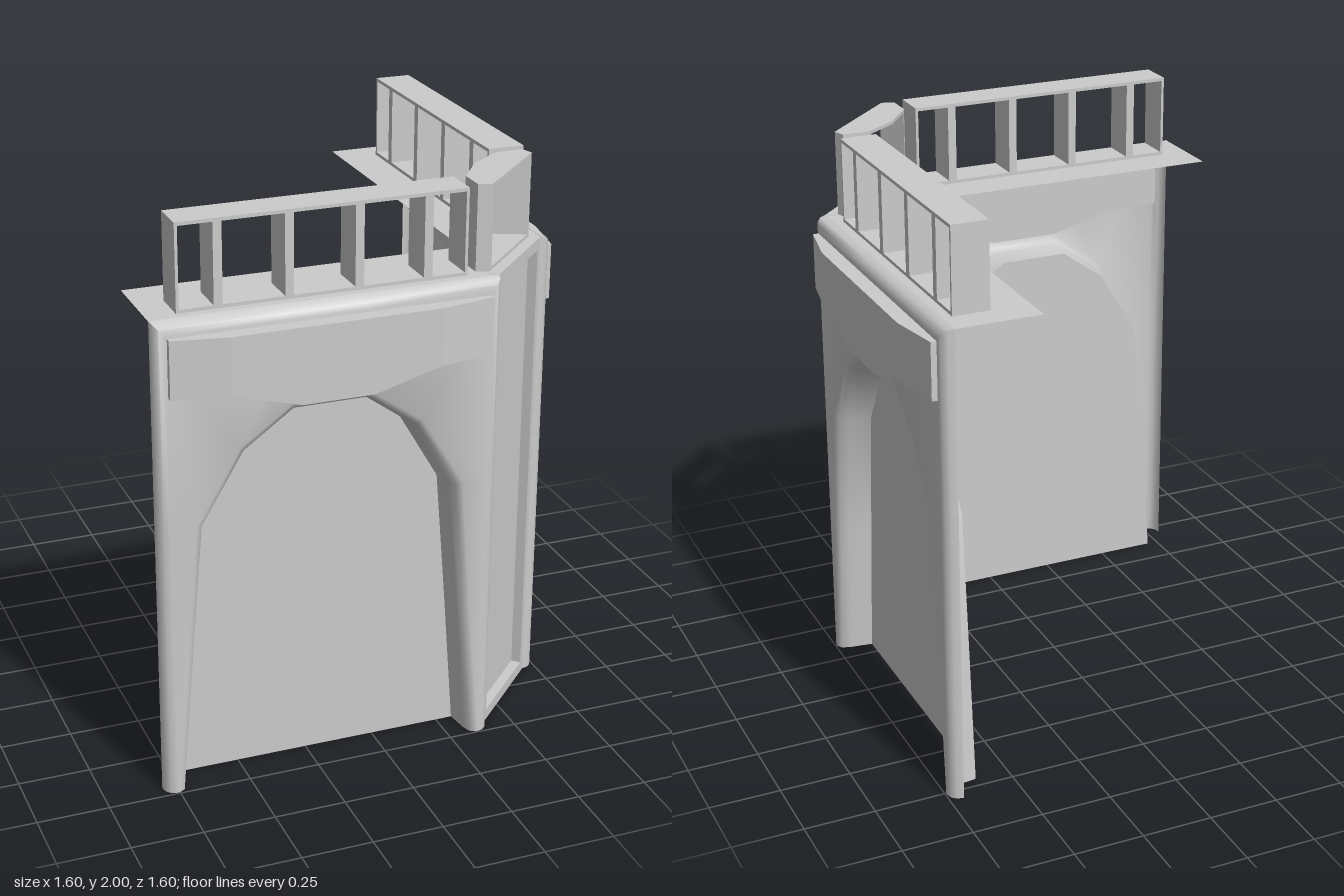
import * as THREE from 'three';
import { toCreasedNormals } from 'three/addons/utils/BufferGeometryUtils.js';

const solid = new THREE.MeshStandardMaterial({ color: 0xcccccc });
const sheet = new THREE.MeshStandardMaterial({ color: 0xcccccc, side: THREE.DoubleSide });

function add(parent, name, geometry, material = solid) {
  const mesh = new THREE.Mesh(geometry, material);
  mesh.name = name;
  parent.add(mesh);
  return mesh;
}

const toShape = (pts) => new THREE.Shape(pts.map(([x, y]) => new THREE.Vector2(x, y)));
// plan outline given as [x, z], drawn so that rotateX(-90deg) lays it flat
const toPlan = (pts) => toShape(pts.map(([x, z]) => [x, -z]));

function rectHole(shape, x0, y0, x1, y1) {
  shape.holes.push(toShape([[x0, y0], [x0, y1], [x1, y1], [x1, y0]]));
}

// skin between rows of matching points
function loft(rows, crease) {
  const n = rows[0].length, index = [];
  for (let r = 0; r < rows.length - 1; r++) {
    for (let i = 0; i < n - 1; i++) {
      const a = r * n + i, c = a + n;
      index.push(a, c, a + 1, a + 1, c, c + 1);
    }
  }
  const g = new THREE.BufferGeometry();
  g.setAttribute('position', new THREE.Float32BufferAttribute(rows.flat(2), 3));
  g.setIndex(index);
  return toCreasedNormals(g, crease);
}

function prism(pts, y, height) {
  const g = new THREE.ExtrudeGeometry(toPlan(pts), { depth: height, bevelEnabled: false });
  return g.rotateX(-Math.PI / 2).translate(0, y, 0);
}

const mirrored = (half) => [...half, ...half.map(([x, y]) => [-x, y]).reverse()];

// arch outline grown outward by o
const arch = (o) => mirrored([
  [0.51 + o, 0], [0.47 + o, 0.5], [0.43 + o, 0.97 + o * 0.5],
  [0.29 + o * 0.7, 1.21 + o * 0.8], [0.125 + o * 0.3, 1.33 + o],
]);
// wall outline with the same number of points
const frame = (w, h) => mirrored([[w, 0], [w, 0.5], [w, 0.97], [w, h], [0.125, h]]);
const atZ = (pts, z) => pts.map(([x, y]) => [x, y, z]);

function createWing() {
  const wing = new THREE.Group();

  // wall sheet: arch reveal, rounded arch lip, flat face, rounded outer edge
  add(wing, 'archedWall', loft([
    atZ(arch(0), 0.62), atZ(arch(0.01), 0.7), atZ(arch(0.02), 0.732), atZ(arch(0.04), 0.745),
    atZ(frame(0.56, 1.66), 0.745), atZ(frame(0.58, 1.68), 0.739),
    atZ(frame(0.594, 1.694), 0.724), atZ(frame(0.6, 1.7), 0.7),
  ], 0.9), sheet);
  add(wing, 'archPanel', new THREE.ShapeGeometry(toShape(arch(0))).translate(0, 0, 0.62), sheet);

  // sign board with a dipped lower edge and ends swept back
  const rows = [
    [-0.555, 1.45, 0.765], [-0.36, 1.45, 0.8], [-0.125, 1.385, 0.8],
    [0.125, 1.385, 0.8], [0.36, 1.45, 0.8], [0.555, 1.45, 0.765],
  ].map(([u, b, z]) => [[u, b, z], [u, 1.65, z], [u, 1.65, 0.7], [u, b, 0.7], [u, b, z]]);
  const cap = (u) => Array.from({ length: 5 }, () => [u, 1.55, 0.74]);
  add(wing, 'signBoard', loft([cap(-0.555), ...rows, cap(0.555)], 0.05));

  // railing: one frame with five openings
  const rail = toShape([[-0.5, 1.7], [0.5, 1.7], [0.5, 2], [-0.5, 2]]);
  const posts = [-0.36, -0.12, 0.12, 0.36];
  const starts = [-0.49, ...posts.map((p) => p + 0.015)];
  const ends = [...posts.map((p) => p - 0.015), 0.49];
  starts.forEach((s, i) => rectHole(rail, s, 1.712, ends[i], 1.988));
  add(wing, 'railing', new THREE.ExtrudeGeometry(rail, { depth: 0.13, bevelEnabled: false })
    .translate(0, 0, 0.54));
  return wing;
}

function createCorner() {
  const corner = new THREE.Group();
  corner.name = 'corner';

  // pilaster with a sunken panel
  const face = toShape([[-0.212, 0], [0.212, 0], [0.212, 1.7], [-0.212, 1.7]]);
  rectHole(face, -0.184, 0.04, 0.184, 1.66);
  add(corner, 'pilasterFrame', new THREE.ExtrudeGeometry(face, { depth: 0.035, bevelEnabled: false })
    .translate(0, 0, 0.743));
  add(corner, 'pilasterPanel', new THREE.PlaneGeometry(0.368, 1.62).translate(0, 0.85, 0.743), sheet);

  // corner railing: two slabs and two side posts
  const slab = [[-0.194, 0.739], [0.194, 0.739], [0.216, 0.697], [0.148, 0.629],
    [0, 0.606], [-0.148, 0.629], [-0.216, 0.697]];
  for (const y of [1.7, 1.988]) add(corner, 'cornerRailSlab', prism(slab, y, 0.012));
  const post = [[0.18, 0.739], [0.194, 0.739], [0.216, 0.697], [0.148, 0.629], [0.138, 0.627]];
  for (const s of [1, -1]) {
    add(corner, 'cornerRailPost', prism(post.map(([x, z]) => [x * s, z]), 1.712, 0.276));
  }
  return corner;
}

export function createModel() {
  const model = new THREE.Group();
  model.name = 'cornerWall';

  const frontWing = createWing();
  frontWing.name = 'frontWing';
  frontWing.position.x = -0.2;

  const sideWing = createWing();
  sideWing.name = 'sideWing';
  sideWing.rotation.y = Math.PI / 2;
  sideWing.position.z = -0.2;

  const corner = createCorner();
  corner.rotation.y = Math.PI / 4;
  model.add(frontWing, sideWing, corner);

  // thin walkway joining both wings
  const deck = toPlan([[-0.8, 0.4], [-0.8, 0.7], [0.4, 0.7], [0.7, 0.4],
    [0.7, -0.8], [0.4, -0.8], [0.4, 0.4]]);
  add(model, 'walkway', new THREE.ShapeGeometry(deck).rotateX(-Math.PI / 2).translate(0, 1.699, 0), sheet);
  return model;
}
